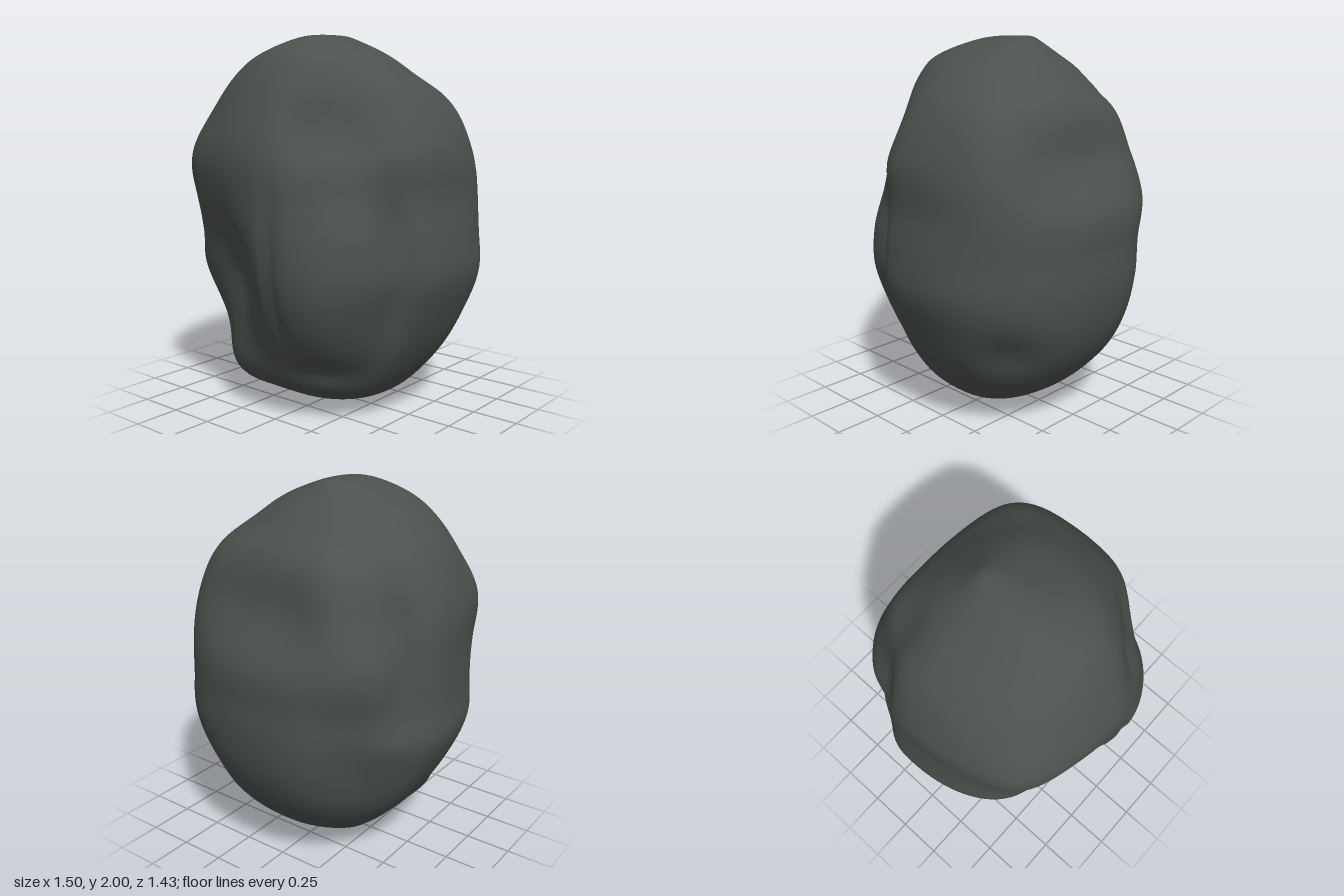
import * as THREE from 'three';
import { mergeVertices } from 'three/addons/utils/BufferGeometryUtils.js';

// Outline at each height: [y, left edge, right edge, back edge, front edge]
const ROWS = [
  [2.0, -0.05, -0.05, -0.1, -0.1],
  [1.985, -0.13, 0.05, -0.15, 0.18],
  [1.9, -0.3, 0.27, -0.25, 0.42],
  [1.8, -0.46, 0.41, -0.36, 0.52],
  [1.64, -0.6, 0.56, -0.5, 0.61],
  [1.4, -0.7, 0.68, -0.56, 0.7],
  [1.16, -0.72, 0.7, -0.7, 0.715],
  [0.95, -0.735, 0.735, -0.72, 0.725],
  [0.76, -0.75, 0.745, -0.725, 0.715],
  [0.56, -0.675, 0.68, -0.69, 0.66],
  [0.37, -0.56, 0.59, -0.6, 0.57],
  [0.2, -0.41, 0.47, -0.45, 0.48],
  [0.1, -0.3, 0.36, -0.31, 0.33],
  [0.045, -0.23, 0.23, -0.19, 0.18],
  [0.012, -0.1, 0.11, -0.1, 0.07],
  [0, 0, 0, -0.02, -0.02],
];

// Hollows (negative) and lumps (positive): [centre, radii, height]
const LUMPS = [
  [[-0.24, 0.73, 0.62], [0.25, 0.34, 0.45], -0.17], // large front scoop
  [[-0.52, 1.3, 0.52], [0.2, 0.25, 0.2], 0.045], // brow above the scoop
  [[-0.34, 0.25, 0.38], [0.2, 0.17, 0.22], 0.09], // foot below the scoop
  [[0.28, 1.5, 0.6], [0.1, 0.18, 0.3], -0.04], // upper front hollow
  [[0.47, 1.47, 0.48], [0.24, 0.3, 0.24], -0.11], // flattened upper corner
  [[0.15, 0.85, 0.7], [0.035, 0.5, 0.2], -0.025], // vertical front seam
  [[0.34, 0.65, 0.6], [0.16, 0.28, 0.15], 0.025], // front right slab
  [[0.3, 0.25, 0.47], [0.22, 0.1, 0.2], -0.045], // undercut of the slab
  [[0.62, 0.85, 0.34], [0.2, 0.42, 0.13], -0.05], // hollow side
  [[0.58, 0.72, 0.28], [0.25, 0.38, 0.06], -0.03], // side crack
  [[0.58, 1.03, 0.32], [0.12, 0.12, 0.05], -0.03],
  [[0.5, 1.45, -0.42], [0.24, 0.32, 0.22], 0.08], // back right shoulder
  [[-0.62, 1.15, -0.33], [0.25, 0.5, 0.11], -0.07], // back corner groove
  [[-0.38, 1.65, -0.33], [0.12, 0.25, 0.15], -0.03],
  [[-0.35, 1.45, -0.52], [0.16, 0.25, 0.16], 0.05], // ridge beside the groove
  [[-0.5, 0.72, -0.52], [0.24, 0.36, 0.24], -0.09], // low back hollow
  [[0.45, 0.48, -0.45], [0.15, 0.14, 0.15], -0.04],
];

// Smooth curve through the rows
function rowAt(t) {
  const last = ROWS.length - 1;
  const i = Math.min(Math.floor(t * last), last - 1);
  const f = t * last - i;
  const row = k => ROWS[Math.max(0, Math.min(last, k))];
  return ROWS[0].map((_, c) => {
    const [a, b, d, e] = [row(i - 1)[c], row(i)[c], row(i + 1)[c], row(i + 2)[c]];
    return b + 0.5 * f * (d - a + f * (2 * a - 5 * b + 4 * d - e + f * (3 * (b - d) + e - a)));
  });
}

function boulderGeometry() {
  const sphere = new THREE.SphereGeometry(1, 120, 105);
  const { position, uv } = sphere.attributes;
  const power = v => Math.sign(v) * Math.abs(v) ** (2 / 2.25);

  // Wrap the sphere onto rounded-square cross-sections
  for (let i = 0; i < position.count; i++) {
    const [y, x0, x1, z0, z1] = rowAt(1 - uv.getY(i));
    const phi = (uv.getX(i) % 1) * Math.PI * 2;
    const cx = (x0 + x1) / 2;
    const cz = THREE.MathUtils.lerp(z0, z1, 0.44);
    const px = power(-Math.cos(phi));
    const pz = power(Math.sin(phi));
    position.setXYZ(i,
      cx + px * (x1 - x0) / 2,
      y,
      cz + pz * (pz > 0 ? z1 - cz : cz - z0));
  }
  sphere.deleteAttribute('uv');
  sphere.deleteAttribute('normal');
  const geometry = mergeVertices(sphere, 1e-5);
  geometry.computeVertexNormals();

  // Push the surface in and out along its normals
  const p = geometry.attributes.position;
  const n = geometry.attributes.normal;
  for (let i = 0; i < p.count; i++) {
    const v = [p.getX(i), p.getY(i), p.getZ(i)];
    let push = 0;
    for (const [centre, radii, height] of LUMPS) {
      const d2 = v.reduce((s, c, k) => s + ((c - centre[k]) / radii[k]) ** 2, 0);
      push += height * Math.exp(-d2);
    }
    p.setXYZ(i, v[0] + n.getX(i) * push, v[1] + n.getY(i) * push, v[2] + n.getZ(i) * push);
  }
  geometry.computeVertexNormals();
  return geometry;
}

export function createModel() {
  const group = new THREE.Group();
  group.name = 'rock';
  const stone = new THREE.MeshStandardMaterial({ color: 0x4b514d });
  stone.name = 'dark grey stone';
  const boulder = new THREE.Mesh(boulderGeometry(), stone);
  boulder.name = 'boulder';
  group.add(boulder);
  return group;
}
